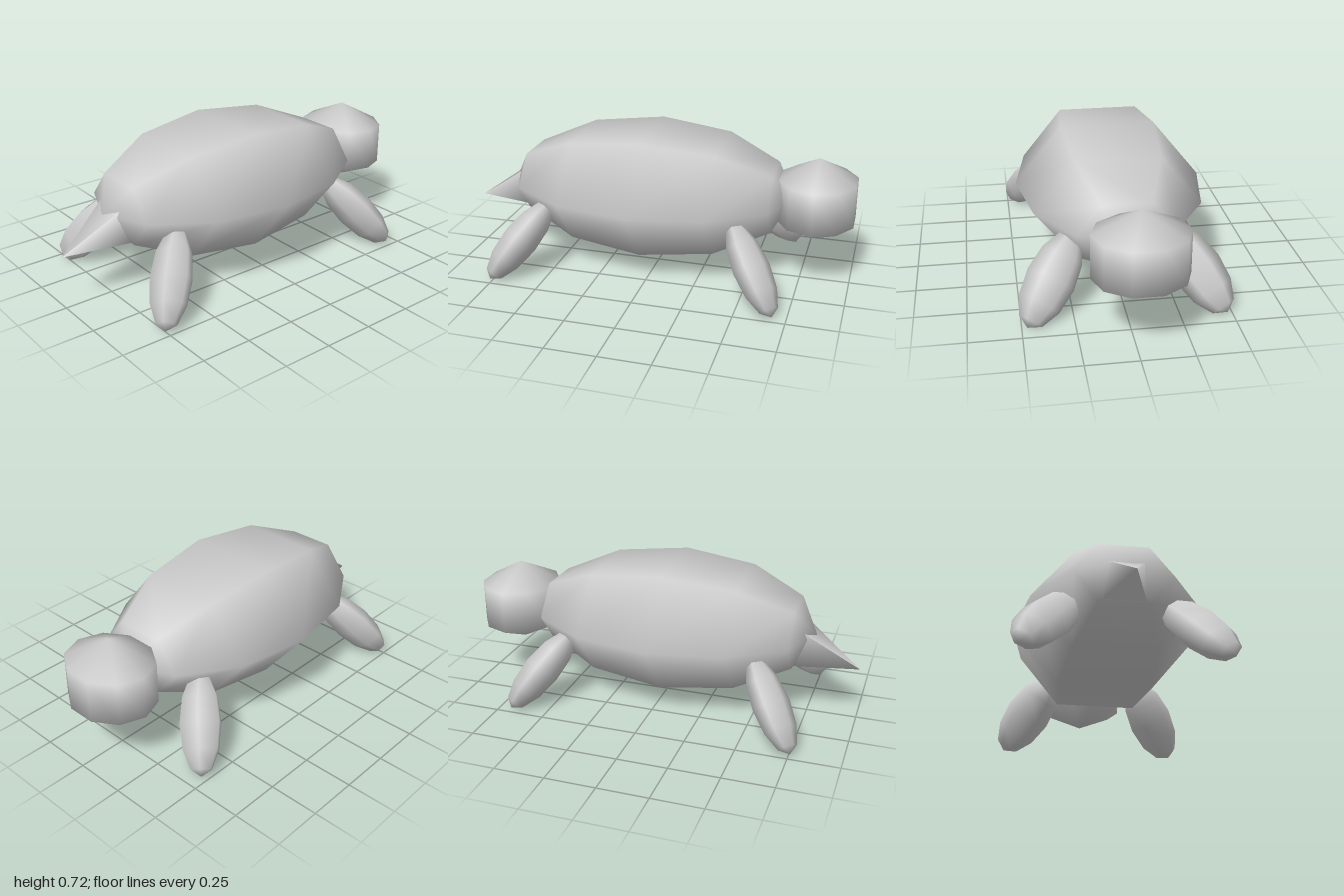
import * as THREE from 'three';

const material = new THREE.MeshStandardMaterial({ color: 0xcccccc });

function addMesh(parent, name, geometry, x, y, z) {
  const mesh = new THREE.Mesh(geometry, material);
  mesh.name = name;
  mesh.position.set(x, y, z);
  parent.add(mesh);
  return mesh;
}

export function createModel() {
  const model = new THREE.Group();
  model.name = 'turtle';
  const midZ = 0.038;

  // Shell: six-sided ellipsoid with its poles along z
  const shell = new THREE.SphereGeometry(1, 6, 6).rotateX(Math.PI / 2).scale(0.475, 0.341, 0.74);
  addMesh(model, 'shell', shell, -0.002, 0.423, midZ);

  // Head: coarse ball with two rings of ten, slightly off centre
  const head = new THREE.SphereGeometry(1, 10, 3).scale(0.262, 0.215, 0.231);
  addMesh(model, 'head', head, -0.03, 0.425, -0.81);

  // Flippers: flattened ellipsoids splayed outward and down
  const flipper = new THREE.SphereGeometry(1, 6, 6).scale(0.122, 0.248, 0.09);
  for (const sz of [1, -1]) {
    for (const sx of [1, -1]) {
      const wide = new THREE.Vector3(0.854 * sx, 0.5, -0.146 * sz);
      const long = new THREE.Vector3(-0.5 * sx, 0.707, -0.5 * sz);
      const thin = new THREE.Vector3().crossVectors(wide, long);
      const name = (sz > 0 ? 'front' : 'back') + (sx > 0 ? 'Left' : 'Right') + 'Flipper';
      const mesh = addMesh(model, name, flipper, 0.35 * sx, 0.185, midZ + 0.597 * sz);
      mesh.quaternion.setFromRotationMatrix(new THREE.Matrix4().makeBasis(wide, long, thin));
    }
  }

  // Tail: four-sided spike, sheared so the underside stays nearly level
  const tail = new THREE.ConeGeometry(0.145, 0.32, 4).rotateY(Math.PI / 4).rotateX(Math.PI / 2);
  tail.applyMatrix4(new THREE.Matrix4().set(
    1, 0, 0, 0,
    0, 1, -0.375, 0,
    0, 0, 1, 0,
    0, 0, 0, 1
  ));
  addMesh(model, 'tail', tail, -0.003, 0.326, 0.84);

  return model;
}
